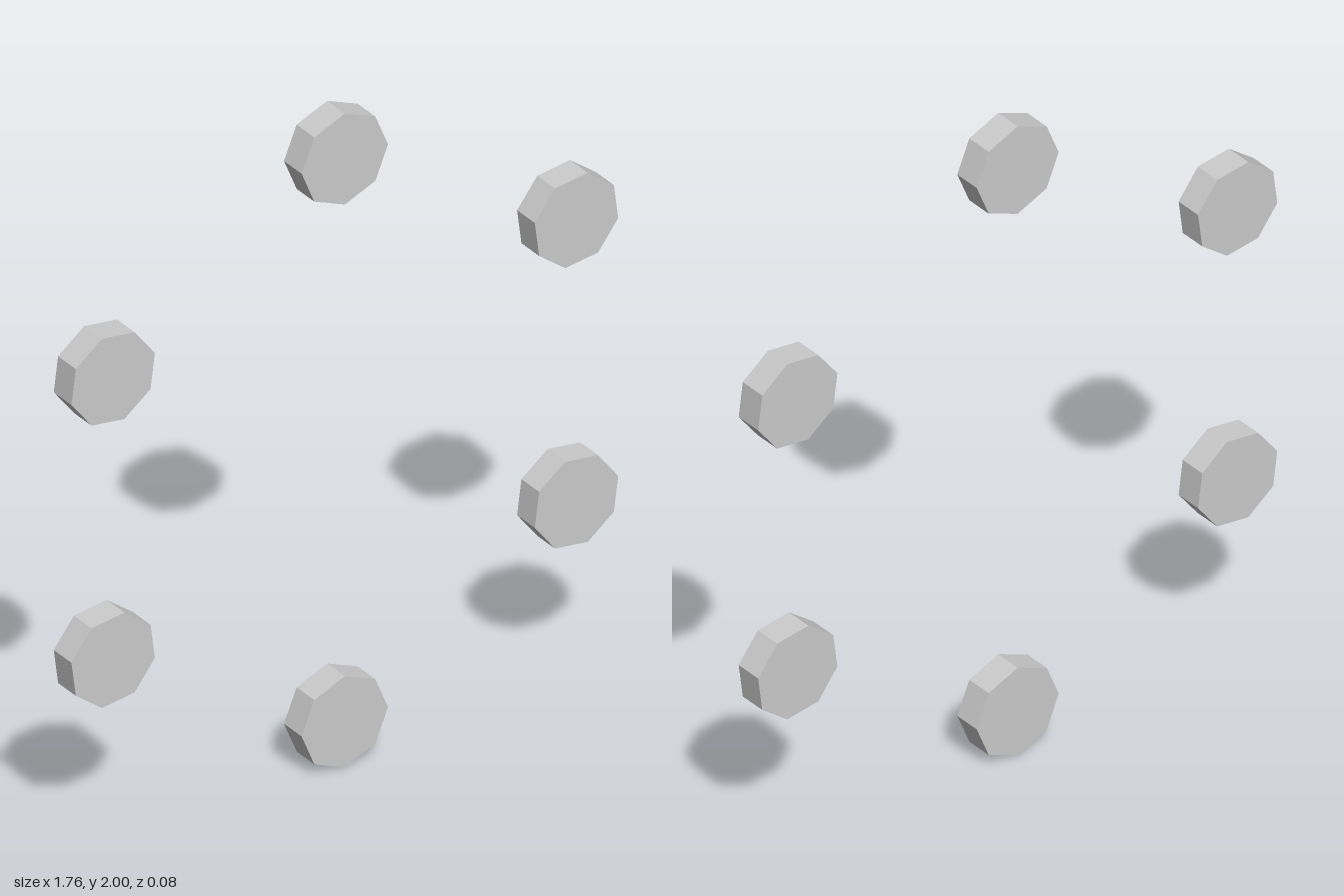
import * as THREE from 'three';

const COUNT = 6;
const DISC_RADIUS = 0.139;
const DISC_DEPTH = 0.083;
const RING_RADIUS = 1 - DISC_RADIUS;

export function createModel() {
  const model = new THREE.Group();
  model.name = 'discRing';
  const material = new THREE.MeshStandardMaterial({ color: 0xcccccc, flatShading: true });

  // Octagonal disc facing +z, one corner pointing away from the ring centre
  const disc = new THREE.CylinderGeometry(DISC_RADIUS, DISC_RADIUS, DISC_DEPTH, 8);
  disc.rotateX(-Math.PI / 2);
  disc.translate(0, RING_RADIUS, 0);

  // Six discs spaced evenly around an upright circle
  const ring = new THREE.Group();
  ring.name = 'ring';
  ring.position.y = 1;
  for (let i = 0; i < COUNT; i++) {
    const mesh = new THREE.Mesh(disc, material);
    mesh.name = `disc${i + 1}`;
    mesh.rotation.z = (i / COUNT) * Math.PI * 2;
    ring.add(mesh);
  }
  model.add(ring);
  return model;
}
